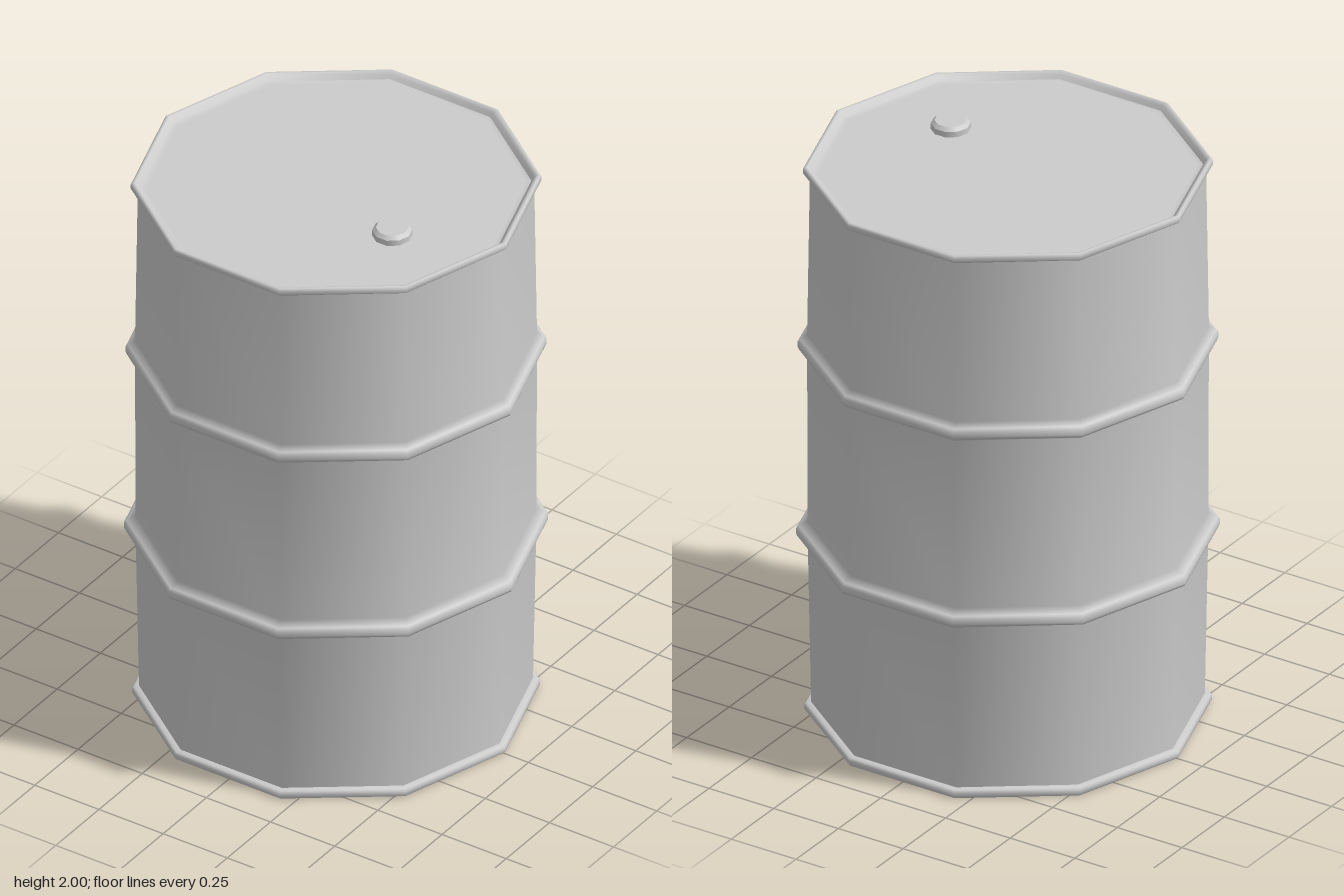
import * as THREE from 'three';

const SIDES = 10;
const material = new THREE.MeshStandardMaterial({ color: 0xcccccc });

// Turned part; profile of [radius, height] runs from bottom to top, then inwards
function turned(name, profile) {
  const points = profile.map(([r, y]) => new THREE.Vector2(r, y));
  const mesh = new THREE.Mesh(new THREE.LatheGeometry(points, SIDES, Math.PI / 2), material);
  mesh.name = name;
  return mesh;
}

// Rolled hoop swelling out of the wall
const hoop = (y, wall, peak) => [
  [wall, y - 0.035], [peak - 0.004, y - 0.018], [peak, y - 0.008],
  [peak, y + 0.01], [peak - 0.008, y + 0.02], [wall, y + 0.035],
];

export function createModel() {
  const drum = new THREE.Group();
  drum.name = 'drum';

  // Slightly bulging wall with two hoops
  drum.add(turned('wall', [
    [0.637, 0.025],
    ...hoop(0.66, 0.648, 0.686),
    ...hoop(1.345, 0.65, 0.681),
    [0.641, 1.972],
  ]));

  // Bottom plate and its rim
  drum.add(turned('bottom', [[0, 0], [0.652, 0]]));
  drum.add(turned('bottomRim', [[0.652, 0], [0.66, 0.008], [0.66, 0.022], [0.654, 0.03], [0.637, 0.032]]));

  // Top rim and the slightly sunken lid
  drum.add(turned('topRim', [
    [0.641, 1.966], [0.658, 1.967], [0.664, 1.973], [0.664, 1.987],
    [0.658, 1.993], [0.65, 1.993], [0.642, 1.985], [0.632, 1.972],
  ]));
  drum.add(turned('lid', [[0.632, 1.972], [0.615, 1.968], [0, 1.968]]));

  // Filler cap with a bevelled edge
  const cap = new THREE.Group();
  cap.name = 'fillerCap';
  cap.position.set(0.31, 0, 0.135);
  cap.add(turned('capSide', [[0.065, 1.966], [0.065, 1.988]]));
  cap.add(turned('capBevel', [[0.065, 1.988], [0.053, 2]]));
  cap.add(turned('capTop', [[0.053, 2], [0, 2]]));
  drum.add(cap);

  return drum;
}
